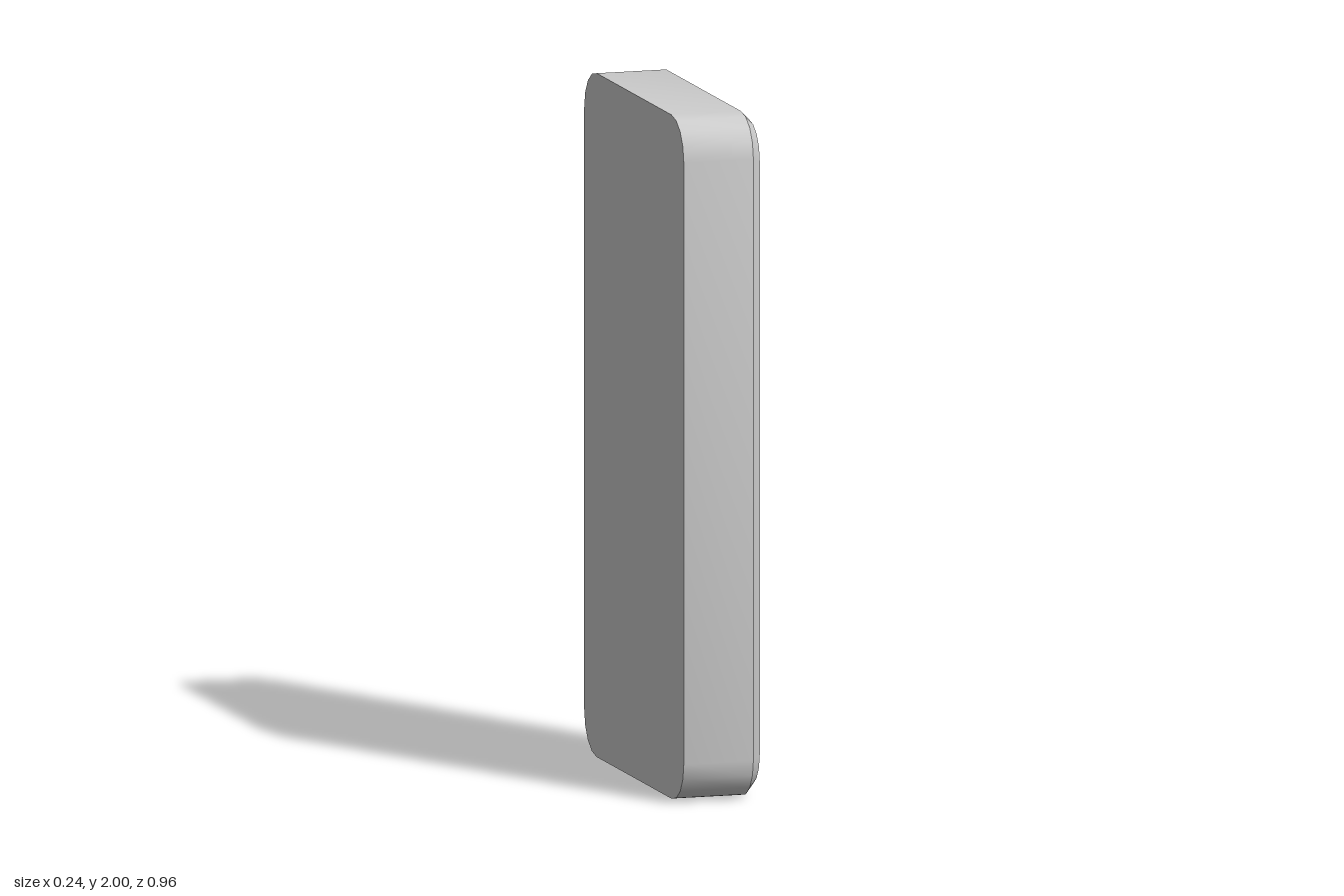
import * as THREE from 'three';
import { toCreasedNormals } from 'three/addons/utils/BufferGeometryUtils.js';

const HALF_W = 0.48, HALF_T = 0.119, BEVEL = 0.028;
const PIP_R = 0.108, PIP_DEPTH = 0.07, PIP_SIDES = 10;
const PIPS = [
  [-0.24, 1.75], [0.24, 1.75], [-0.24, 1.5], [0.24, 1.5], [-0.24, 1.25], [0.24, 1.25],
  [0.24, 0.755], [-0.24, 0.255],
];

// Counter-clockwise rounded rectangle, inset from the tile's edge
function outline(inset) {
  const r = 0.12 - inset * 0.6, w = HALF_W - inset - r, h = 1 - inset - r, pts = [];
  [[w, h], [-w, h], [-w, -h], [w, -h]].forEach(([cx, cy], q) => {
    for (let i = 0; i <= 4; i++) {
      const a = (q + i / 4) * Math.PI / 2;
      pts.push(new THREE.Vector2(cx + r * Math.cos(a), 1 + cy + r * Math.sin(a)));
    }
  });
  return pts;
}

function rect(x0, x1, y0, y1) {
  return [[x0, y0], [x1, y0], [x1, y1], [x0, y1]].map(([x, y]) => new THREE.Vector2(x, y));
}

function circle([cx, cy]) {
  return Array.from({ length: PIP_SIDES }, (_, i) => {
    const a = i / PIP_SIDES * Math.PI * 2;
    return new THREE.Vector2(cx + PIP_R * Math.cos(a), cy + PIP_R * Math.sin(a));
  });
}

// Skin between successive [points, z] loops of equal length
function loft(loops) {
  const pos = [], index = [], n = loops[0][0].length;
  loops.forEach(([pts, z]) => pts.forEach(p => pos.push(p.x, p.y, z)));
  for (let k = 0; k < loops.length - 1; k++) {
    for (let i = 0; i < n; i++) {
      const a = k * n + i, b = k * n + (i + 1) % n;
      index.push(a, b, b + n, a, b + n, a + n);
    }
  }
  const g = new THREE.BufferGeometry();
  g.setAttribute('position', new THREE.Float32BufferAttribute(pos, 3));
  g.setIndex(index);
  return toCreasedNormals(g, Math.PI / 6);
}

export function createModel() {
  const group = new THREE.Group();
  group.name = 'dominoTile';
  const smooth = new THREE.MeshStandardMaterial({ color: 0xcccccc });
  const faceted = new THREE.MeshStandardMaterial({ color: 0xcccccc, flatShading: true, side: THREE.DoubleSide });
  const add = (name, geometry, material) => {
    const mesh = new THREE.Mesh(geometry, material);
    mesh.name = name;
    group.add(mesh);
    return mesh;
  };

  // Edge wall with a chamfer on the dotted side
  const outer = outline(0), inner = outline(BEVEL);
  add('edge', loft([[outer, -HALF_T], [outer, HALF_T - BEVEL], [inner, HALF_T]]), smooth);

  // Plain back
  const back = new THREE.ShapeGeometry(new THREE.Shape(outer));
  back.rotateY(Math.PI).translate(0, 0, -HALF_T);
  add('backFace', back, smooth);

  // Dotted face, pierced for the pips and the dividing groove
  const grooveTop = rect(-0.4, 0.39, 0.957, 1.047);
  const grooveFloor = rect(-0.39, 0.38, 0.967, 1.037);
  const face = new THREE.Shape(inner);
  PIPS.forEach(p => face.holes.push(new THREE.Path(circle(p))));
  face.holes.push(new THREE.Path(grooveTop));
  add('dottedFace', new THREE.ShapeGeometry(face).translate(0, 0, HALF_T), smooth);

  // Dividing groove
  const floorZ = HALF_T - 0.03;
  add('grooveWalls', loft([[grooveTop, HALF_T], [grooveFloor, floorZ]]), faceted);
  add('grooveFloor', new THREE.ShapeGeometry(new THREE.Shape(grooveFloor)).translate(0, 0, floorZ), smooth);

  // Pips: shallow faceted spherical bowls
  const R = (PIP_R ** 2 + PIP_DEPTH ** 2) / (2 * PIP_DEPTH);
  const rim = Math.asin(PIP_R / R), profile = [];
  for (let i = 0; i <= 4; i++) {
    const a = rim * (1 - i / 4);
    profile.push(new THREE.Vector2(R * Math.sin(a), R * (Math.cos(rim) - Math.cos(a))));
  }
  const bowl = new THREE.LatheGeometry(profile, PIP_SIDES, Math.PI / 2).rotateX(Math.PI / 2);
  PIPS.forEach(([x, y], i) => add(`pip${i + 1}`, bowl, faceted).position.set(x, y, HALF_T));

  // Turn the dotted face towards +x
  group.rotation.y = Math.PI / 2;
  const model = new THREE.Group();
  model.name = 'domino';
  model.add(group);
  return model;
}
